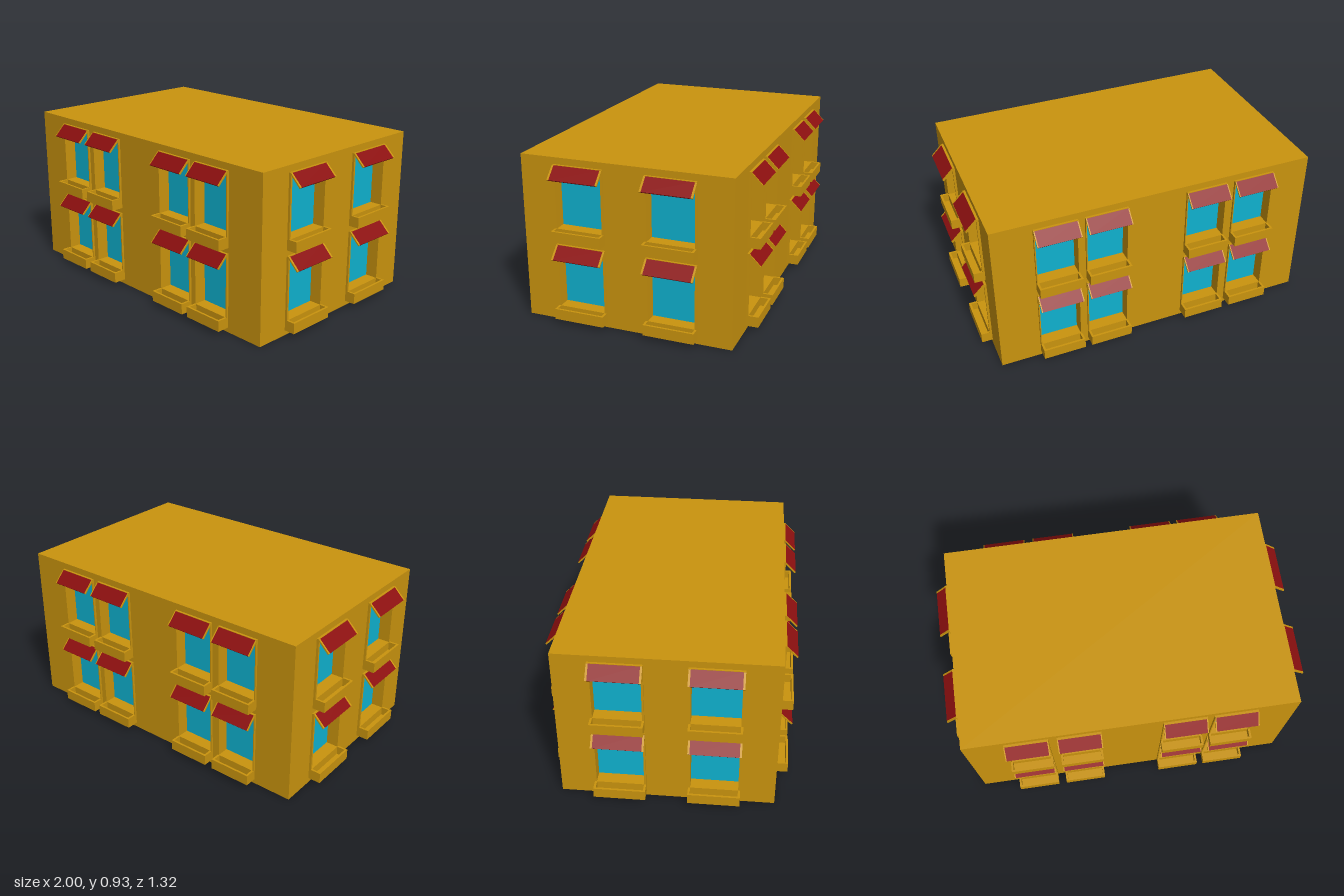
import * as THREE from 'three';

const gold = new THREE.MeshStandardMaterial({ color: 0xc9930e });
gold.name = 'ochre plaster';
const blue = new THREE.MeshStandardMaterial({ color: 0x0fb1ce });
blue.name = 'blue glass';
const red = new THREE.MeshStandardMaterial({ color: 0x8c0f0f });
red.name = 'red canvas';

const HEIGHT = 0.925, HALF_X = 0.926, HALF_Z = 0.586;
const WALL = 0.057, SLAB = 0.01, FRAME = 0.013;
const FLOORS = [{ y0: 0.028, y1: 0.445 }, { y0: 0.477, y1: 0.888 }];
const PLANTER_H = 0.06;

function add(parent, name, geometry, material, x = 0, y = 0, z = 0) {
  const mesh = new THREE.Mesh(geometry, material);
  mesh.name = name;
  mesh.position.set(x, y, z);
  parent.add(mesh);
  return mesh;
}

function box(parent, name, material, w, h, d, x, y, z) {
  return add(parent, name, new THREE.BoxGeometry(w, h, d), material, x, y, z);
}

function rect(Type, x0, y0, x1, y1) {
  return new Type([[x0, y0], [x1, y0], [x1, y1], [x0, y1]].map(([x, y]) => new THREE.Vector2(x, y)));
}

// Flat plate with rectangular openings
function plate(outline, holes, depth) {
  outline.holes.push(...holes);
  return new THREE.ExtrudeGeometry(outline, { depth, bevelEnabled: false });
}

// Open-topped planter under a window
function makePlanter(w, depth) {
  const g = new THREE.Group();
  g.name = 'planter';
  const t = 0.012;
  box(g, 'planterFloor', gold, w, t, depth, 0, t / 2, depth / 2);
  box(g, 'planterFront', gold, w, PLANTER_H, t, 0, PLANTER_H / 2, depth - t / 2);
  box(g, 'planterBack', gold, w, PLANTER_H, FRAME, 0, PLANTER_H / 2, FRAME / 2);
  for (const s of [-1, 1]) {
    box(g, 'planterSide', gold, t, PLANTER_H, depth, s * (w - t) / 2, PLANTER_H / 2, depth / 2);
  }
  return g;
}

// Sloping awning: canvas between two thin rails, hinged at its top edge
function makeAwning(w, jamb) {
  const g = new THREE.Group();
  g.name = 'awning';
  const length = 0.09, t = 0.008;
  box(g, 'canvas', red, w - 2 * jamb, t, length, 0, -t / 2, length / 2);
  for (const s of [-1, 1]) {
    box(g, 'awningRail', gold, jamb, t, length, s * (w - jamb) / 2, -t / 2, length / 2);
  }
  g.rotation.x = Math.PI / 4;
  return g;
}

// One facade, outer wall face at z = 0
function makeFacade(name, width, centres, w, jamb, planterDepth) {
  const g = new THREE.Group();
  g.name = name;
  const holes = [];
  for (const { y0, y1 } of FLOORS) {
    for (const c of centres) {
      const sill = y0 + PLANTER_H, inner = w / 2 - jamb, top = y1 - jamb;
      holes.push(rect(THREE.Path, c - inner, sill, c + inner, top));

      const win = new THREE.Group();
      win.name = 'window';
      win.position.x = c;
      g.add(win);
      const frame = plate(rect(THREE.Shape, -w / 2, sill, w / 2, y1),
        [rect(THREE.Path, -inner, sill, inner, top)], FRAME);
      add(win, 'windowFrame', frame, gold);
      box(win, 'glass', blue, 2 * inner + 0.01, top - sill + 0.01, 0.008,
        0, (top + sill) / 2, -WALL - 0.004);
      const planter = makePlanter(w, planterDepth);
      planter.position.y = y0;
      win.add(planter);
      const awning = makeAwning(w, jamb);
      awning.position.set(0, y1, FRAME - 0.002);
      win.add(awning);
    }
  }
  const wall = plate(rect(THREE.Shape, -width / 2, SLAB, width / 2, HEIGHT - SLAB), holes, WALL);
  add(g, 'wall', wall, gold, 0, 0, -WALL);
  return g;
}

export function createModel() {
  const model = new THREE.Group();
  model.name = 'building';
  model.position.x = -0.003;

  // Roof and ground slab
  for (const [name, y] of [['roof', HEIGHT - SLAB / 2], ['groundSlab', SLAB / 2]]) {
    box(model, name, gold, 2 * HALF_X, SLAB, 2 * HALF_Z, 0, y, 0);
  }

  // Front and back carry paired windows, the ends carry two wide ones
  const paired = [-0.581, -0.291, 0.293, 0.576];
  const ends = [-0.256, 0.256];
  const endWidth = 2 * (HALF_Z - WALL);
  const facades = [
    [makeFacade('frontFacade', 2 * HALF_X, paired, 0.243, 0.006, 0.072), 0, HALF_Z, 0],
    [makeFacade('backFacade', 2 * HALF_X, paired.map((x) => -x), 0.243, 0.006, 0.07), 0, -HALF_Z, Math.PI],
    [makeFacade('leftFacade', endWidth, ends, 0.283, 0.011, 0.062), HALF_X, 0, Math.PI / 2],
    [makeFacade('rightFacade', endWidth, ends, 0.283, 0.011, 0.071), -HALF_X, 0, -Math.PI / 2],
  ];
  for (const [facade, x, z, turn] of facades) {
    facade.position.set(x, 0, z);
    facade.rotation.y = turn;
    model.add(facade);
  }

  const root = new THREE.Group();
  root.name = 'model';
  root.add(model);
  return root;
}
